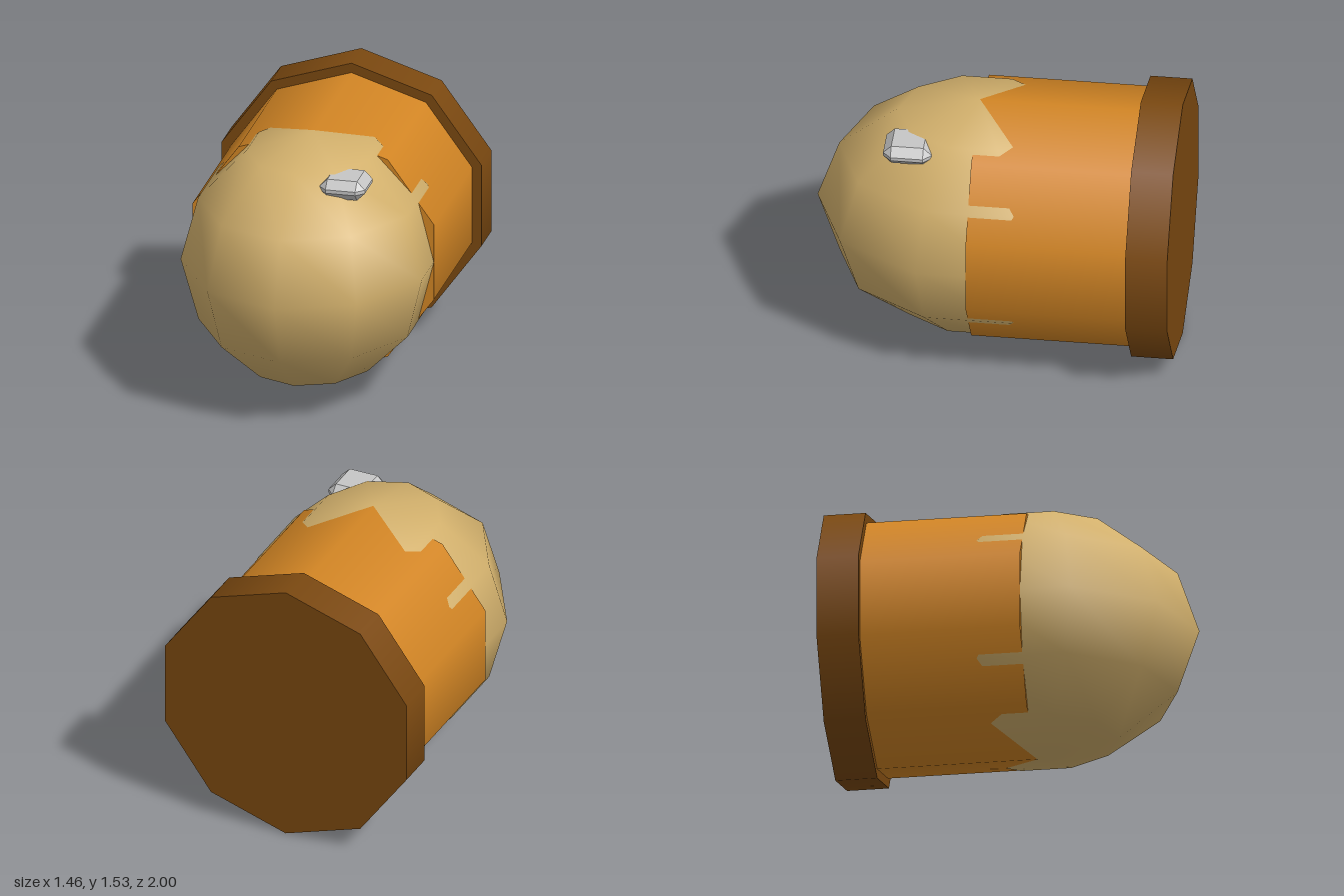
import * as THREE from 'three';
import { ConvexGeometry } from 'three/addons/geometries/ConvexGeometry.js';

const mat = (name, color) => {
  const m = new THREE.MeshStandardMaterial({ color });
  m.name = name;
  return m;
};

const AXIS_Y = 0.765; // height of the long axis

// Ten-sided drum lying along z, with a corner at the top
function drum(name, radius, zBack, zFront, material) {
  const geo = new THREE.CylinderGeometry(radius, radius, zFront - zBack, 10).rotateX(Math.PI / 2);
  const mesh = new THREE.Mesh(geo, material);
  mesh.name = name;
  mesh.position.set(0, AXIS_Y, (zBack + zFront) / 2);
  return mesh;
}

// Box with every edge and corner cut by the same bevel
function bevelledBox(hx, hy, hz, b) {
  const points = [];
  for (const x of [-1, 1]) for (const y of [-1, 1]) for (const z of [-1, 1]) {
    points.push(
      new THREE.Vector3(x * hx, y * (hy - b), z * (hz - b)),
      new THREE.Vector3(x * (hx - b), y * hy, z * (hz - b)),
      new THREE.Vector3(x * (hx - b), y * (hy - b), z * hz)
    );
  }
  return new ConvexGeometry(points);
}

export function createModel() {
  const model = new THREE.Group();
  const tan = mat('tan', 0xd2b06c);
  const orange = mat('orange', 0xd28524);
  const brown = mat('brown', 0x7a4810);
  const grey = mat('light grey', 0xc6c6c6);

  // Casing and wider rim at the back
  model.add(drum('casing', 0.71, -0.8, 0.11, orange));
  model.add(drum('rim', 0.765, -1, -0.77, brown));

  // Stretched nose ball, half sunk in the casing; its corners poke through the sides
  const nose = new THREE.Mesh(new THREE.SphereGeometry(0.71, 10, 6).rotateY(Math.PI / 2), tan);
  nose.name = 'nose';
  nose.scale.z = 0.89 / 0.71;
  nose.position.set(0, AXIS_Y, 0.11);
  model.add(nose);

  // Small bevelled stud set into the upper left of the nose
  const stud = new THREE.Mesh(bevelledBox(0.128, 0.055, 0.133, 0.045), grey);
  stud.name = 'stud';
  stud.position.set(0.27, 1.32, 0.467);
  model.add(stud);

  return model;
}
